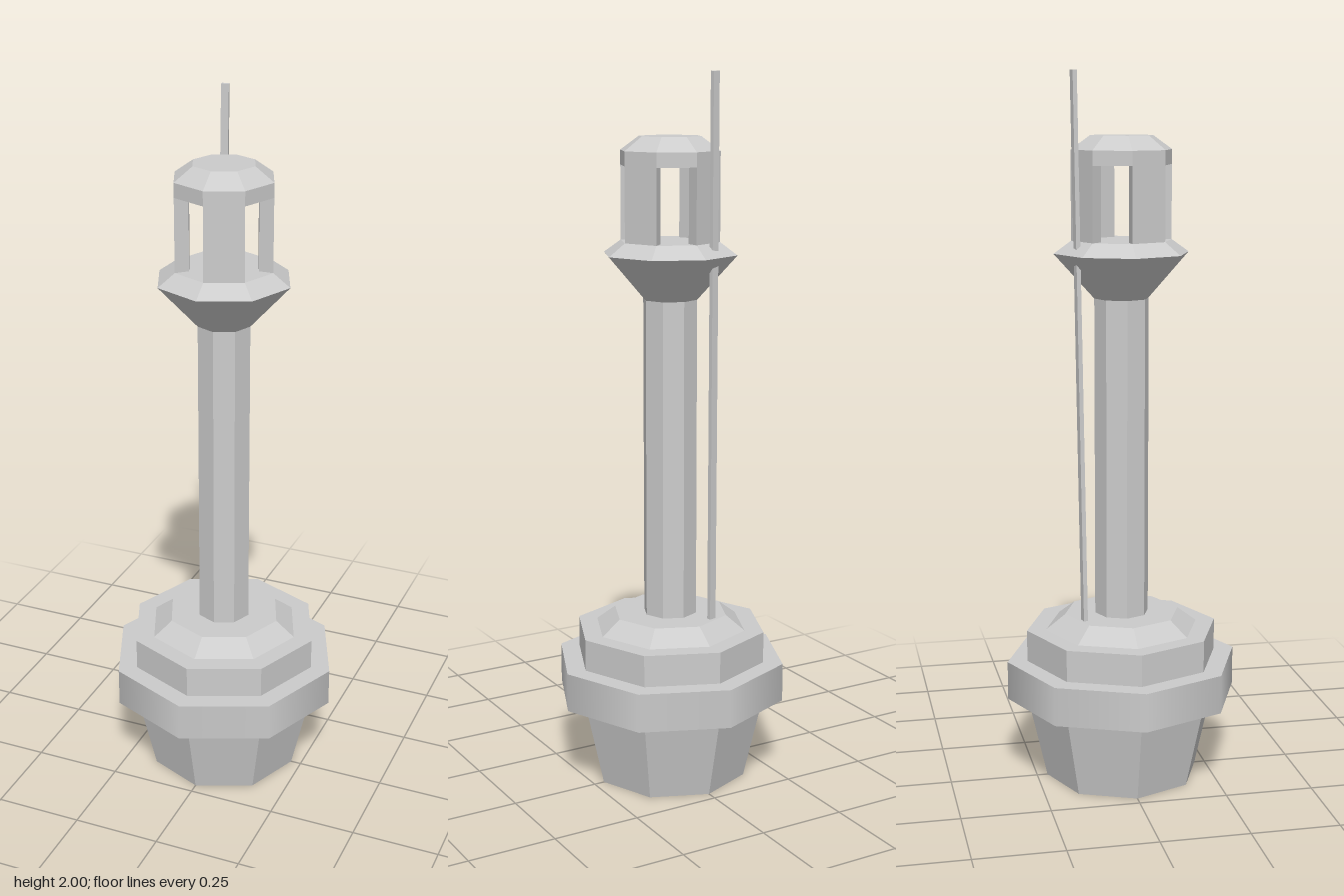
import * as THREE from 'three';

const flat = new THREE.MeshStandardMaterial({ color: 0xcccccc, flatShading: true });
const smooth = new THREE.MeshStandardMaterial({ color: 0xcccccc });

export function createModel() {
  const group = new THREE.Group();

  function add(name, geometry, material = flat) {
    const mesh = new THREE.Mesh(geometry, material);
    mesh.name = name;
    group.add(mesh);
    return mesh;
  }

  // Octagonal frustum with corners on the x and z axes
  function tier(name, rBottom, rTop, y0, y1, material) {
    const geometry = new THREE.CylinderGeometry(rTop, rBottom, y1 - y0, 8);
    add(name, geometry.translate(0, (y0 + y1) / 2, 0), material);
  }

  // Tapered foot and stepped base
  tier('foot', 0.22, 0.275, 0, 0.24);
  tier('baseRing', 0.332, 0.332, 0.24, 0.35, smooth);
  tier('baseStep', 0.275, 0.275, 0.35, 0.44);
  tier('baseBevel', 0.22, 0.165, 0.44, 0.482);

  // Shaft and flared gallery
  tier('shaft', 0.077, 0.077, 0.482, 1.385);
  tier('galleryFlare', 0.077, 0.19, 1.385, 1.51);
  tier('galleryDeck', 0.19, 0.141, 1.51, 1.545);

  // Lantern room: solid panels alternate with open bays
  const outer = 0.141, inner = 0.1;
  for (let i = 0; i < 4; i++) {
    const a = i * Math.PI / 2, b = a + Math.PI / 4;
    const corner = (r, t) => new THREE.Vector2(r * Math.sin(t), -r * Math.cos(t));
    const shape = new THREE.Shape([corner(outer, a), corner(outer, b), corner(inner, b), corner(inner, a)]);
    const geometry = new THREE.ExtrudeGeometry(shape, { depth: 0.205, bevelEnabled: false });
    add('lanternPanel', geometry.rotateX(-Math.PI / 2).translate(0, 1.545, 0));
  }

  // Lintel band and bevelled roof
  tier('lanternLintel', outer, outer, 1.75, 1.79);
  tier('roof', outer, 0.088, 1.79, 1.828);

  // Thin leaning mast passing through the gallery edge
  const bottom = new THREE.Vector3(-0.066, 0.46, -0.12);
  const top = new THREE.Vector3(-0.055, 2, -0.142);
  const direction = top.clone().sub(bottom);
  const mast = add('mast', new THREE.BoxGeometry(0.021, direction.length(), 0.012).rotateY(0.2));
  mast.position.copy(bottom).add(top).multiplyScalar(0.5);
  mast.quaternion.setFromUnitVectors(new THREE.Vector3(0, 1, 0), direction.normalize());

  return group;
}
